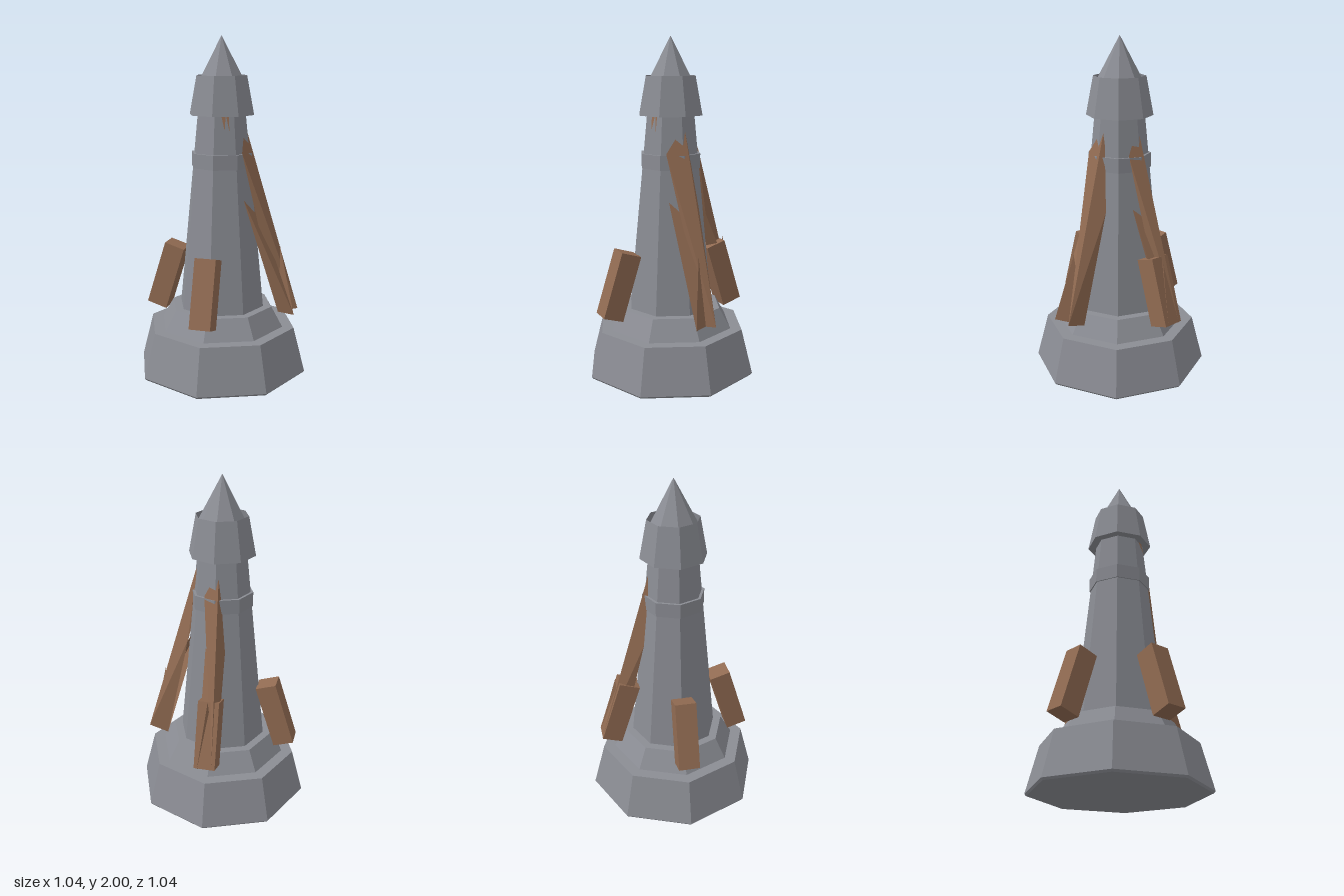
import * as THREE from 'three';

export function createModel() {
  const model = new THREE.Group();
  model.name = 'tower';
  const stone = new THREE.MeshStandardMaterial({ name: 'stone grey', color: 0x8b8d94, flatShading: true, side: THREE.DoubleSide });
  const wood = new THREE.MeshStandardMaterial({ name: 'timber brown', color: 0x916b52, flatShading: true, side: THREE.DoubleSide });

  function add(name, geometry, material, parent = model) {
    const mesh = new THREE.Mesh(geometry, material);
    mesh.name = name;
    parent.add(mesh);
    return mesh;
  }

  // Eight-sided stone tier, corners on the axes
  function tier(name, rBottom, rTop, y0, y1, open = false) {
    const mesh = add(name, new THREE.CylinderGeometry(rTop, rBottom, y1 - y0, 8, 1, open), stone);
    mesh.position.y = (y0 + y1) / 2;
  }
  tier('baseFoot', 0.51, 0.52, 0, 0.012);
  tier('base', 0.52, 0.45, 0.012, 0.28);
  tier('plinth', 0.38, 0.31, 0.28, 0.4);
  tier('shaft', 0.26, 0.145, 0.4, 1.56);
  tier('collar', 0.183, 0.183, 1.245, 1.33);
  tier('headWall', 0.195, 0.152, 1.55, 1.775, true);
  tier('headFloor', 0.194, 0.192, 1.551, 1.565);
  tier('spire', 0.165, 0, 1.69, 2);

  // Leaning timber blocks on three sides
  const turns = { frontBrace: -Math.PI / 2, rightBrace: Math.PI, backBrace: Math.PI / 2 };
  for (const [name, turn] of Object.entries(turns)) {
    const pivot = new THREE.Group();
    pivot.name = name;
    pivot.rotation.y = turn;
    const block = add(name + 'Block', new THREE.BoxGeometry(0.125, 0.4, 0.125), wood, pivot);
    block.position.set(0.34, 0.56, 0);
    block.rotation.z = 0.303;
    model.add(pivot);
  }

  // Splintered timbers: thin blades from the foot up to the shaft
  function blades(name, triangles) {
    const geometry = new THREE.BufferGeometry();
    geometry.setAttribute('position', new THREE.Float32BufferAttribute(triangles.flat(2), 3));
    geometry.computeVertexNormals();
    return add(name, geometry, wood);
  }
  const A = [0.46, 0.385, -0.062], B = [0.46, 0.385, 0.062], D = [0.34, 0.35, -0.062];
  const P = [0.15, 1.34, 0.1], Q = [0.135, 1.5, -0.02], R = [0.19, 1.02, -0.09], S = [0.155, 1.07, 0.087];
  const mid = [0.36, 0.78, 0];
  const shards = [[A, P, Q], [A, Q, R], [A, R, D], [B, S, R], [B, D, mid], [D, S, B], [A, D, P]];
  blades('leftSplinters', shards);
  const back = blades('backSplinters', shards);
  back.rotation.y = Math.PI / 2;
  back.scale.z = 0.68;

  // Small splinter tips under the head
  blades('splinterTips', [
    [[0.035, 1.56, 0.135], [0.06, 1.47, 0.15], [0.06, 1.56, 0.125]],
    [[0.06, 1.56, 0.125], [0.085, 1.46, 0.135], [0.075, 1.56, 0.12]],
  ]);

  return model;
}
